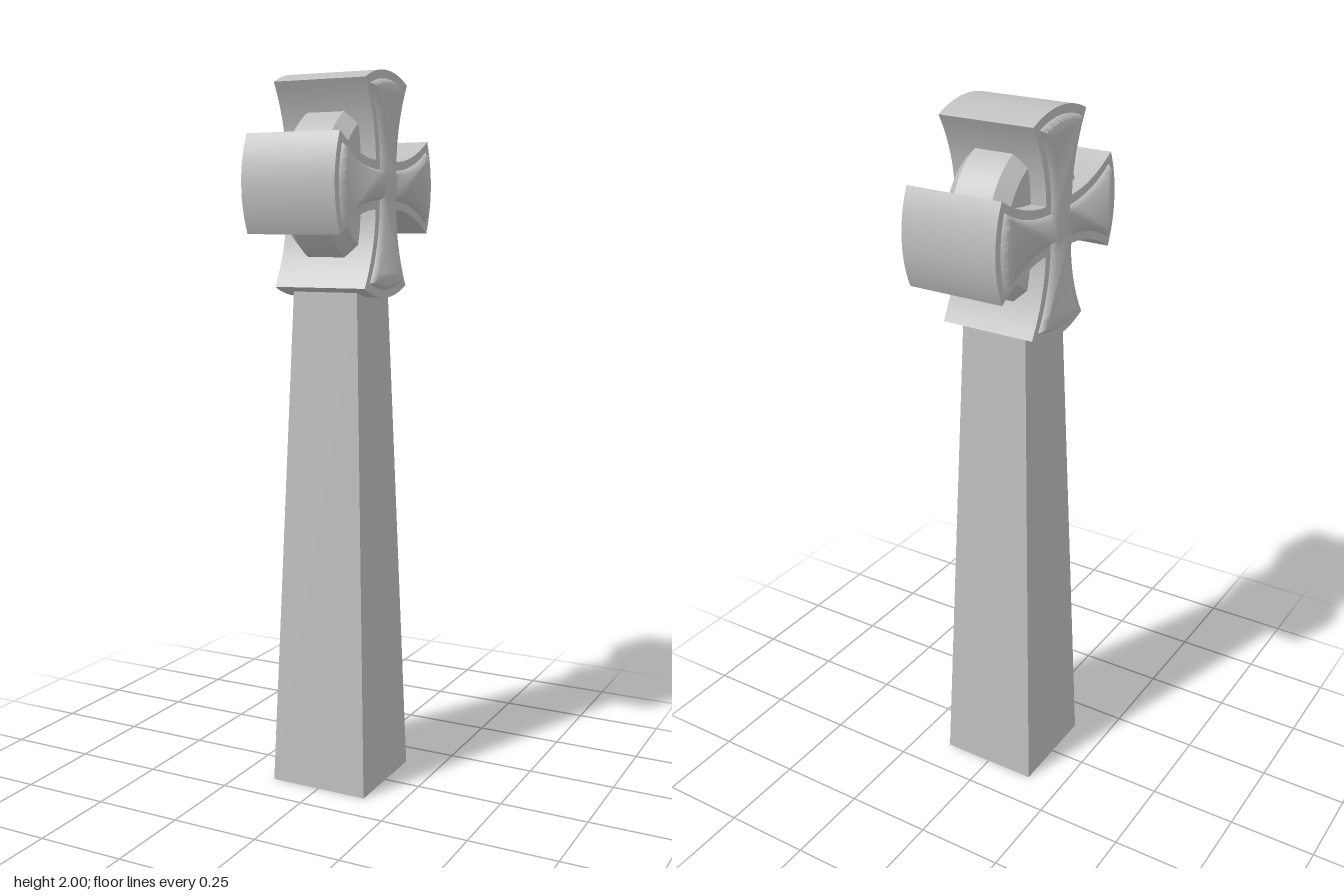
import * as THREE from 'three';
import { toCreasedNormals } from 'three/addons/utils/BufferGeometryUtils.js';

const CENTRE = 1.7; // height of the cross centre

// Four flared arms with arc ends: end radius, half width at the end and at the notch
function crossShape(radius, halfEnd, notch, waist) {
  const shape = new THREE.Shape();
  const reach = Math.sqrt(radius * radius - halfEnd * halfEnd);
  const spread = Math.atan2(halfEnd, reach);
  for (let i = 0; i < 4; i++) {
    const a = i * Math.PI / 2;
    // Arm-local (along, across) to shape coordinates
    const at = (u, v) => [u * Math.cos(a) - v * Math.sin(a), u * Math.sin(a) + v * Math.cos(a)];
    if (i === 0) shape.moveTo(...at(notch, -notch));
    shape.quadraticCurveTo(...at(0.17, -waist), ...at(reach, -halfEnd));
    shape.absarc(0, 0, radius, a - spread, a + spread, false);
    shape.quadraticCurveTo(...at(0.17, waist), ...at(notch, notch));
  }
  return shape;
}

// Extrude symmetrically along x
function crossGeometry(shape, options, crease) {
  const geo = new THREE.ExtrudeGeometry(shape, { depth: 0.274, curveSegments: 12, ...options });
  geo.translate(0, 0, -0.137);
  geo.rotateY(Math.PI / 2);
  return toCreasedNormals(geo, crease);
}

export function createModel() {
  const group = new THREE.Group();
  const stone = new THREE.MeshStandardMaterial({ color: 0xbfbfbf, side: THREE.DoubleSide });
  stone.name = 'grey stone';

  const add = (name, geometry, y) => {
    const mesh = new THREE.Mesh(geometry, stone);
    mesh.name = name;
    mesh.position.y = y;
    group.add(mesh);
  };

  // Tapered square shaft, open underneath
  const shaft = new THREE.CylinderGeometry(0.097 * Math.SQRT2, 0.145 * Math.SQRT2, 1.42, 4, 1, true);
  shaft.rotateY(Math.PI / 4);
  add('shaft', toCreasedNormals(shaft, 0.5), 0.71);

  // Flared cross, with a raised bevelled face on both sides
  add('crossBody', crossGeometry(crossShape(0.303, 0.13, 0.065, 0.068), { bevelEnabled: false }, 0.6), CENTRE);
  add('raisedCrossFaces', crossGeometry(crossShape(0.28, 0.1, 0.04, 0.042), {
    bevelThickness: 0.015, bevelSize: 0.011, bevelOffset: -0.011, bevelSegments: 1,
  }, 1.1), CENTRE);

  // Chamfered disc behind the arms
  const profile = [[0, -0.092], [0.178, -0.092], [0.213, -0.056], [0.213, 0.056], [0.178, 0.092], [0, 0.092]]
    .map(([r, h]) => new THREE.Vector2(r, h));
  const disc = new THREE.LatheGeometry(profile, 48);
  disc.rotateZ(Math.PI / 2);
  add('disc', toCreasedNormals(disc, 0.5), CENTRE);

  return group;
}
